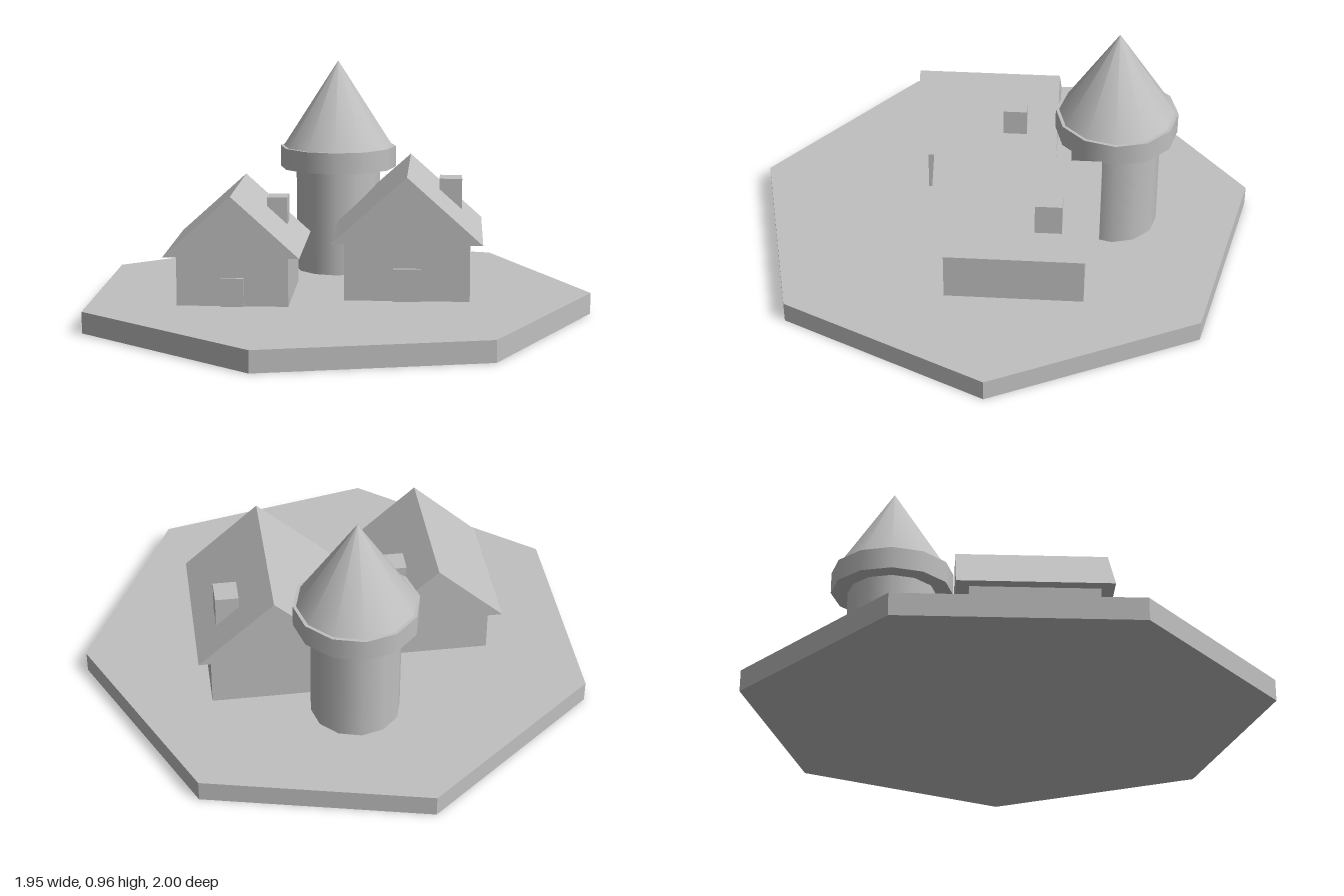
import * as THREE from 'three';

const GROUND = 0.084;
const stone = new THREE.MeshStandardMaterial({ color: 0xc0c0c0 });
stone.name = 'paleGrey';

function add(parent, name, geometry, x, y, z) {
  const mesh = new THREE.Mesh(geometry, stone);
  mesh.name = name;
  mesh.position.set(x, y, z);
  parent.add(mesh);
  return mesh;
}

// Box placed by its bottom and top heights
function block(parent, name, w, d, x, z, y0, y1) {
  return add(parent, name, new THREE.BoxGeometry(w, y1 - y0, d), x, (y0 + y1) / 2, z);
}

// Triangular prism with its ridge along z
function gable(halfWidth, height, depth) {
  const shape = new THREE.Shape();
  shape.moveTo(-halfWidth, 0);
  shape.lineTo(halfWidth, 0);
  shape.lineTo(0, height);
  shape.closePath();
  const geometry = new THREE.ExtrudeGeometry(shape, { depth, bevelEnabled: false });
  geometry.translate(0, 0, -depth / 2);
  return geometry;
}

// Cottage: walls, gable roof, door at the front and chimney on the +x slope
function house(name, h) {
  const group = new THREE.Group();
  group.name = name;
  block(group, 'walls', h.width, h.depth, h.x, h.z, GROUND, h.eaves);
  add(group, 'roof', gable(h.roofWidth / 2, h.ridge - h.eaves, h.roofDepth), h.x, h.eaves, h.z);
  block(group, 'door', h.doorWidth, 0.03, h.x, h.z + h.depth / 2, GROUND, h.doorTop);
  const c = h.chimney;
  block(group, 'chimney', c.w, c.d, c.x, c.z, h.eaves + 0.04, c.top);
  return group;
}

export function createModel() {
  const model = new THREE.Group();
  model.name = 'village';

  // Seven-sided ground slab with a corner towards +x
  const slab = new THREE.CylinderGeometry(1.0257, 1.0257, GROUND, 7, 1, false, Math.PI / 2).toNonIndexed();
  slab.computeVertexNormals();
  add(model, 'ground', slab, -0.05, GROUND / 2, 0);

  model.add(house('smallHouse', {
    x: -0.414, z: 0.077, width: 0.431, depth: 0.48, eaves: 0.281, ridge: 0.518,
    roofWidth: 0.524, roofDepth: 0.577, doorWidth: 0.088, doorTop: 0.195,
    chimney: { x: -0.268, z: -0.039, w: 0.08, d: 0.096, top: 0.457 },
  }));
  model.add(house('largeHouse', {
    x: 0.252, z: -0.08, width: 0.489, depth: 0.542, eaves: 0.315, ridge: 0.578,
    roofWidth: 0.588, roofDepth: 0.643, doorWidth: 0.108, doorTop: 0.213,
    chimney: { x: 0.419, z: -0.209, w: 0.091, d: 0.104, top: 0.512 },
  }));

  // Round tower with a wider collar and a pointed roof
  const tower = new THREE.Group();
  tower.name = 'tower';
  tower.position.set(-0.053, 0, -0.451);
  model.add(tower);
  const round = (name, rTop, rBottom, y0, y1) => add(tower, name,
    new THREE.CylinderGeometry(rTop, rBottom, y1 - y0, 12), 0, (y0 + y1) / 2, 0);
  round('towerBody', 0.175, 0.175, GROUND, 0.516);
  round('towerCollar', 0.241, 0.241, 0.516, 0.603);
  add(tower, 'towerRoof', new THREE.ConeGeometry(0.228, 0.356, 12), 0, 0.603 + 0.178, 0);

  return model;
}
